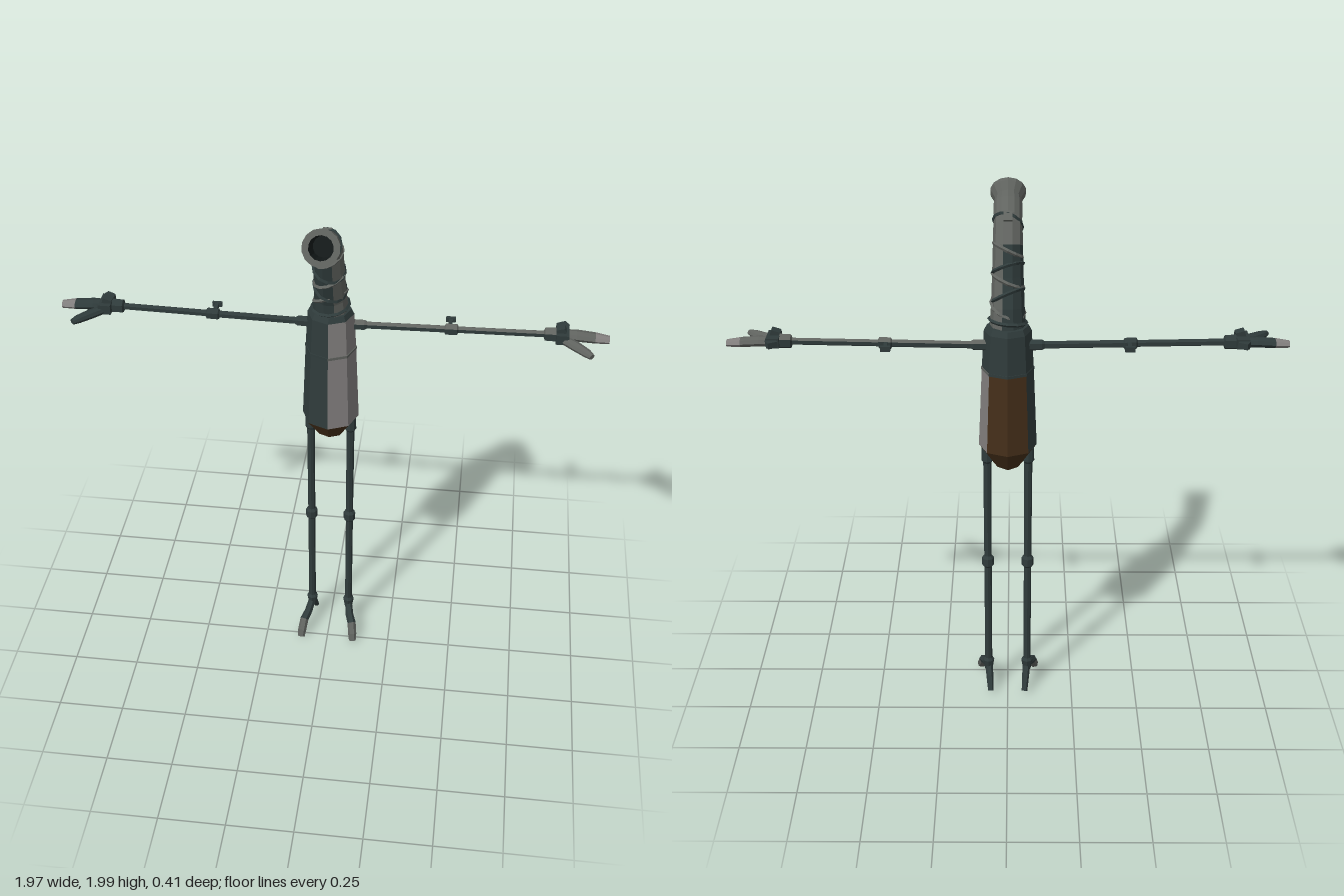
import * as THREE from 'three';

const paint = (name, color) => {
  const m = new THREE.MeshStandardMaterial({ color });
  m.name = name;
  return m;
};

export function createModel() {
  const model = new THREE.Group();
  model.name = 'longNeckedRobot';
  const dark = paint('darkTealMetal', 0x2f3b3b);
  const pale = paint('paleGreyMetal', 0x827f7e);
  const mid = paint('midGreyMetal', 0x60635f);
  const rust = paint('rustBrown', 0x452f19);
  const black = paint('mouthBlack', 0x141a1a);

  const X = new THREE.Vector3(1, 0, 0);
  const Y = new THREE.Vector3(0, 1, 0);
  const Z = new THREE.Vector3(0, 0, 1);

  const add = (parent, name, geometry, material) => {
    const flat = geometry.index ? geometry.toNonIndexed() : geometry;
    flat.computeVertexNormals();
    const mesh = new THREE.Mesh(flat, material);
    mesh.name = name;
    parent.add(mesh);
    return mesh;
  };

  // Faceted skin over rings [x, y, z, radius along ref, other radius];
  // pick(side, ring) chooses the material of each face.
  function loft(parent, name, rings, sides, ref, pick) {
    const centres = rings.map(r => new THREE.Vector3(r[0], r[1], r[2]));
    const last = rings.length - 1;
    const loops = rings.map((r, k) => {
      const t = centres[Math.min(k + 1, last)].clone().sub(centres[Math.max(k - 1, 0)]).normalize();
      const a = ref.clone().addScaledVector(t, -ref.dot(t)).normalize();
      const b = t.clone().cross(a);
      return Array.from({ length: sides }, (_, i) => {
        const q = i / sides * Math.PI * 2;
        return centres[k].clone().addScaledVector(a, Math.cos(q) * r[3])
          .addScaledVector(b, Math.sin(q) * (r[4] ?? r[3]));
      });
    });
    const faces = new Map();
    const put = (mat, ...vs) => {
      if (!faces.has(mat)) faces.set(mat, []);
      for (const v of vs) faces.get(mat).push(v.x, v.y, v.z);
    };
    for (let i = 0; i < sides; i++) {
      const j = (i + 1) % sides;
      for (let k = 0; k < last; k++) {
        const p = loops[k], n = loops[k + 1];
        put(pick(i, k), p[i], p[j], n[j], p[i], n[j], n[i]);
      }
      put(pick(i, 0), centres[0], loops[0][j], loops[0][i]);
      put(pick(i, last - 1), centres[last], loops[last][i], loops[last][j]);
    }
    const g = new THREE.BufferGeometry();
    const all = [];
    let m = 0;
    for (const list of faces.values()) {
      g.addGroup(all.length / 3, list.length / 3, m++);
      for (const n of list) all.push(n);
    }
    g.setAttribute('position', new THREE.Float32BufferAttribute(all, 3));
    return add(parent, name, g, [...faces.keys()]);
  }
  const all = m => () => m;

  const box = (parent, name, size, pos, mat) => {
    const b = add(parent, name, new THREE.BoxGeometry(...size), mat);
    b.position.set(...pos);
    return b;
  };

  // Octagonal body with panels in three colours
  loft(model, 'body', [
    [0, 0.972, -0.1, 0.008], [0, 1.0, -0.1, 0.052], [0, 1.075, -0.1, 0.105],
    [0, 1.38, -0.1, 0.092], [0, 1.52, -0.1, 0.084], [0, 1.54, -0.1, 0.074],
  ], 8, Z, (side, ring) => {
    if (ring < 2) return rust;
    if (side < 2) return ring < 4 ? pale : dark;
    if (ring > 2 || side > 4) return dark;
    return side === 2 ? pale : rust;
  });
  // Seam round the chest
  loft(model, 'chestSeam', [[0, 1.372, -0.1, 0.0945], [0, 1.382, -0.1, 0.0945]], 8, Z,
    side => (side < 3 ? mid : dark));

  // Bent neck, greyer on its left side
  loft(model, 'neck', [
    [0, 1.5, -0.1, 0.066], [0, 1.6, -0.087, 0.059], [0, 1.7, -0.055, 0.055],
    [0, 1.805, -0.027, 0.052], [0, 1.855, 0.01, 0.051], [0, 1.9, 0.1, 0.047],
  ], 10, X, (side, ring) => (ring > 2 || side < 2 || side > 7 ? mid : dark));

  // Crossed wrappings on the neck: [y, z, radius, pitch, roll]
  [
    [1.555, -0.095, 0.066, 0.1, 0.1], [1.6, -0.086, 0.062, -0.3, 0.35],
    [1.64, -0.075, 0.06, 0.45, -0.4], [1.69, -0.058, 0.058, 0.1, 0.4],
    [1.73, -0.046, 0.056, 0.5, -0.3], [1.79, -0.03, 0.055, 0.25, 0.45],
    [1.866, 0.03, 0.052, 1.0, 0.3],
  ].forEach(([y, z, r, pitch, roll], i) => {
    const wrap = add(model, 'neckWrap', new THREE.TorusGeometry(r, 0.007, 4, 12), i % 2 ? mid : dark);
    wrap.position.set(0, y, z);
    wrap.rotation.set(Math.PI / 2 + pitch, roll, 0);
  });
  box(model, 'headLatch', [0.03, 0.022, 0.04], [0, 1.898, -0.005], mid).rotation.x = -0.6;

  // Flared pipe head with a dark opening
  const head = new THREE.Group();
  head.name = 'head';
  const aim = new THREE.Vector3(0, 0.43, 0.9).normalize();
  head.position.set(0, 1.937, 0.178).addScaledVector(aim, -0.16);
  head.quaternion.setFromUnitVectors(Y, aim);
  model.add(head);
  const turned = (name, pts, mat) => add(head, name,
    new THREE.LatheGeometry(pts.map(p => new THREE.Vector2(...p)), 14), mat);
  turned('headPipe', [[0.05, 0], [0.052, 0.08], [0.047, 0.115], [0.063, 0.148],
    [0.064, 0.16], [0.042, 0.16]], mid);
  turned('mouth', [[0.042, 0.16], [0.036, 0.08], [0, 0.08]], black);

  for (const s of [1, -1]) {
    const side = s > 0 ? 'left' : 'right';
    const limb = name => {
      const g = new THREE.Group();
      g.name = side + name;
      model.add(g);
      return g;
    };

    // Arm: upper surface of the left one is greyer
    const arm = limb('Arm');
    loft(arm, 'armRod', [
      [s * 0.07, 1.468, -0.11, 0.021], [s * 0.12, 1.469, -0.11, 0.02],
      [s * 0.13, 1.469, -0.11, 0.014], [s * 0.405, 1.474, -0.11, 0.014],
      [s * 0.41, 1.474, -0.11, 0.022], [s * 0.45, 1.475, -0.11, 0.022],
      [s * 0.455, 1.475, -0.11, 0.013], [s * 0.755, 1.481, -0.11, 0.013],
      [s * 0.76, 1.481, -0.11, 0.026], [s * 0.81, 1.482, -0.11, 0.028],
    ], 6, Y, i => (s > 0 && (i === 0 || i === 5) ? mid : dark));
    box(arm, 'elbowPin', [0.014, 0.016, 0.06], [s * 0.425, 1.478, -0.145], dark);
    box(arm, 'elbowHook', [0.035, 0.018, 0.012], [s * 0.425, 1.478, -0.17], dark);

    // Gripper hand
    const hand = limb('Hand');
    const skin = s > 0 ? mid : dark;
    box(hand, 'palm', [0.045, 0.036, 0.085], [s * 0.82, 1.487, -0.107], dark);
    box(hand, 'knuckle', [0.032, 0.03, 0.035], [s * 0.815, 1.506, -0.1], dark).rotation.z = s * 0.3;
    box(hand, 'backClaw', [0.035, 0.022, 0.03], [s * 0.822, 1.488, -0.155], dark).rotation.y = s * 0.5;
    loft(hand, 'finger', [
      [s * 0.83, 1.482, -0.115, 0.017, 0.022], [s * 0.87, 1.482, -0.112, 0.018, 0.028],
      [s * 0.935, 1.478, -0.111, 0.016, 0.027], [s * 0.985, 1.474, -0.11, 0.012, 0.02],
    ], 8, Y, (i, k) => (k === 2 ? pale : skin));
    loft(hand, 'thumb', [
      [s * 0.82, 1.48, -0.085, 0.015, 0.016], [s * 0.865, 1.475, -0.055, 0.016, 0.021],
      [s * 0.905, 1.472, -0.018, 0.014, 0.018], [s * 0.922, 1.47, 0.0, 0.01, 0.012],
    ], 8, Y, all(skin));

    // Leg with hip, knee and ankle collars
    const leg = limb('Leg');
    const x = s * 0.075;
    loft(leg, 'legRod', [
      [x, 0.085, -0.1, 0.015], [x, 0.13, -0.1, 0.022], [x, 0.14, -0.1, 0.014],
      [x, 0.555, -0.1, 0.014], [x, 0.565, -0.1, 0.023], [x, 0.595, -0.1, 0.023],
      [x, 0.605, -0.1, 0.014], [x, 1.0, -0.1, 0.015], [x, 1.01, -0.1, 0.022], [x, 1.06, -0.1, 0.02],
    ], 8, Z, all(dark));

    // Foot: long front toe and short heel spur
    const foot = limb('Foot');
    loft(foot, 'frontToe', [
      [x, 0.105, -0.105, 0.014], [s * 0.085, 0.085, -0.05, 0.016],
      [s * 0.098, 0.07, -0.015, 0.017], [s * 0.104, 0.035, 0.012, 0.017, 0.015],
      [s * 0.106, 0.009, 0.026, 0.014, 0.008],
    ], 6, X, (i, k) => (k > 1 ? mid : dark));
    loft(foot, 'heelSpur', [
      [x, 0.115, -0.095, 0.014], [s * 0.07, 0.07, -0.13, 0.014],
      [s * 0.066, 0.02, -0.16, 0.011, 0.009],
    ], 6, X, all(dark));
  }
  return model;
}
